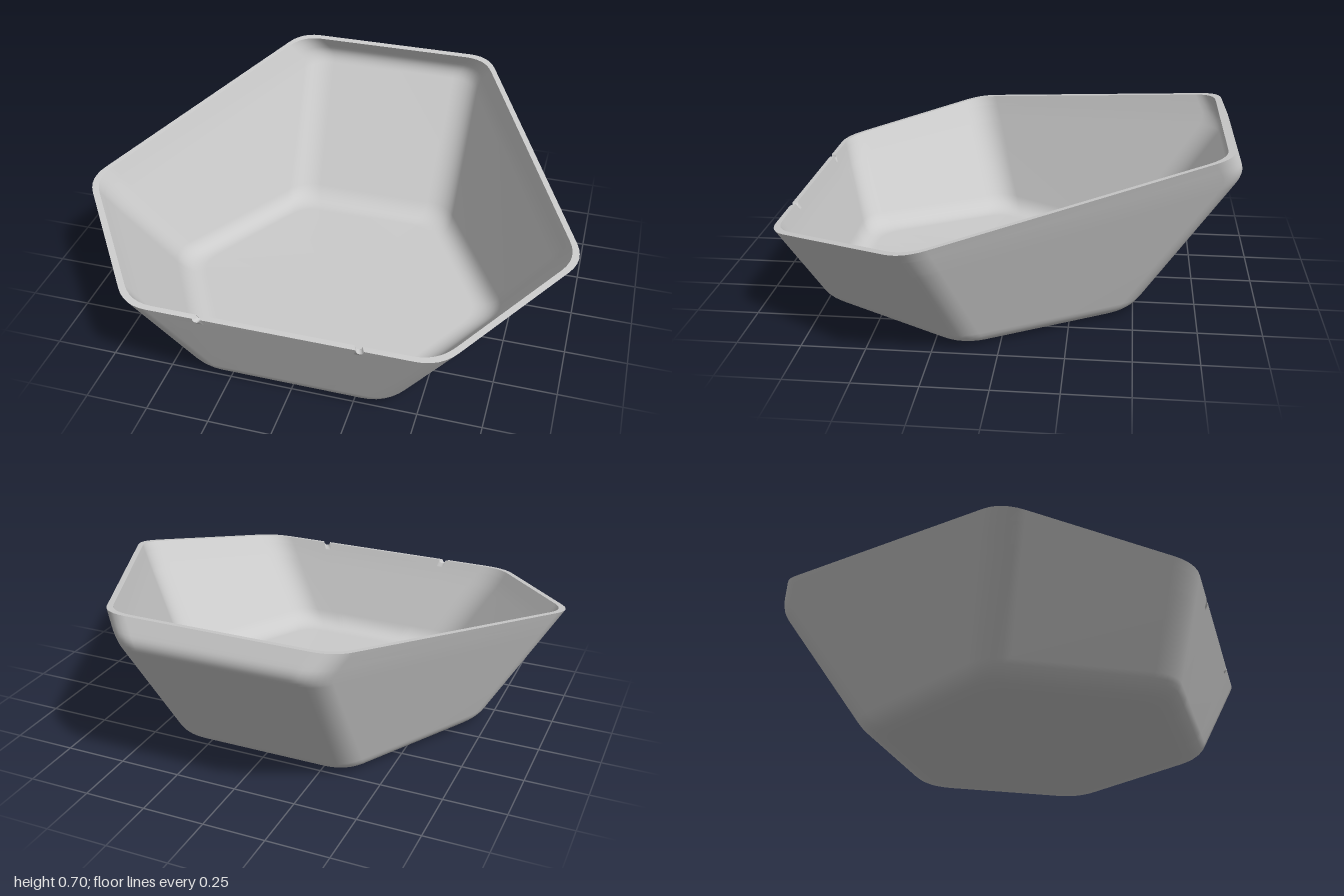
import * as THREE from 'three';

const V = (x, y, z) => new THREE.Vector3(x, y, z);
const rimY = z => 0.555 - 0.174 * z; // sloping plane of the rim
const CENTRE_Z = 0.13;

// Points of a rounded corner at b, between neighbours a and c
function fillet(a, b, c, length, segments) {
  const toward = p => b.clone().add(p.clone().sub(b).setLength(Math.min(length, 0.48 * p.distanceTo(b))));
  return new THREE.QuadraticBezierCurve3(toward(a), b, toward(c)).getPoints(segments);
}

// Corner path from floor, around the base bend and the upper bend, to the rim
function cornerPath(base, mid, rim) {
  const centre = V(0, base.y, CENTRE_Z);
  return [
    ...fillet(centre, base, mid, 0.08, 7),
    ...fillet(base, mid, rim, 0.045, 6),
    mid.clone().lerp(rim, 0.55),
    rim,
  ];
}

// Right-hand half of the hexagon, mirrored to give six corners counter-clockwise
function cornerPaths(inner) {
  const scale = inner ? 0.973 : 1;
  const half = [
    { base: V(0.36, 0, 0.75), rim: V(0.6, 0, 0.89) },
    { base: V(0.715, 0, CENTRE_Z), rim: V(1.023, 0, 0.29) },
    { base: V(0.36, 0, -0.49), mid: V(0.39, 0.61, -0.905), rim: V(0.45, 0, -0.86) },
  ];
  for (const c of half) {
    c.rim.y = rimY(c.rim.z);
    c.mid ??= c.base.clone().lerp(c.rim, 0.85);
    for (const p of [c.base, c.mid, c.rim]) {
      p.x *= scale;
      p.z = 0.1 + (p.z - 0.1) * scale;
    }
    c.rim.y = rimY(c.rim.z);
    if (inner) c.base.y = 0.02;
  }
  const right = half.map(c => cornerPath(c.base, c.mid, c.rim));
  const left = right.map(path => path.map(p => V(-p.x, p.y, p.z))).reverse();
  return [...right, ...left];
}

// Columns on the front edge that shape the two small rim notches
const notch = [];
const R = 0.016;
for (const centre of [-0.31, 0.31])
  for (let i = 0; i <= 6; i++) {
    const a = Math.PI * (1 - i / 6);
    notch.push({ x: centre + R * Math.cos(a), dip: R * Math.sin(a) });
  }

// One closed ring with rounded corners and the notch columns
function ring(corners, atRim) {
  const points = [];
  corners.forEach((c, k) => {
    points.push(...fillet(corners[(k + 5) % 6], c, corners[(k + 1) % 6], 0.09, 6));
  });
  const from = points[points.length - 1], to = points[0];
  for (const n of notch) {
    const p = from.clone().lerp(to, 0.5 + n.x / 1.02);
    if (atRim) p.y -= n.dip;
    points.push(p);
  }
  return points;
}

function shellRings(inner) {
  const paths = cornerPaths(inner);
  const count = paths[0].length;
  return paths[0].map((_, j) => ring(paths.map(p => p[j]), j === count - 1));
}

// Skin a stack of rings; an optional centre closes the first one
function skin(rings, flip, centre) {
  const n = rings[0].length;
  const points = rings.flat();
  const index = [];
  const tri = (a, b, c) => index.push(a, flip ? c : b, flip ? b : c);
  for (let j = 0; j < rings.length - 1; j++)
    for (let i = 0; i < n; i++) {
      const a = j * n + i, b = j * n + (i + 1) % n;
      tri(a, b, b + n);
      tri(a, b + n, a + n);
    }
  if (centre) {
    points.push(centre);
    for (let i = 0; i < n; i++) tri(points.length - 1, (i + 1) % n, i);
  }
  const geometry = new THREE.BufferGeometry().setFromPoints(points);
  geometry.setIndex(index);
  geometry.computeVertexNormals();
  return geometry;
}

export function createModel() {
  const group = new THREE.Group();
  group.name = 'hexagonalBowl';
  const material = new THREE.MeshStandardMaterial({ color: 0xcccccc });
  const add = (name, geometry) => {
    const mesh = new THREE.Mesh(geometry, material);
    mesh.name = name;
    group.add(mesh);
  };

  const outer = shellRings(false);
  const inner = shellRings(true);
  add('outerShell', skin(outer, false, V(0, 0, CENTRE_Z)));
  add('innerShell', skin(inner, true, V(0, 0.02, CENTRE_Z)));
  // Flat lip joining both shells
  add('rim', skin([outer.at(-1), inner.at(-1)], false));
  return group;
}
